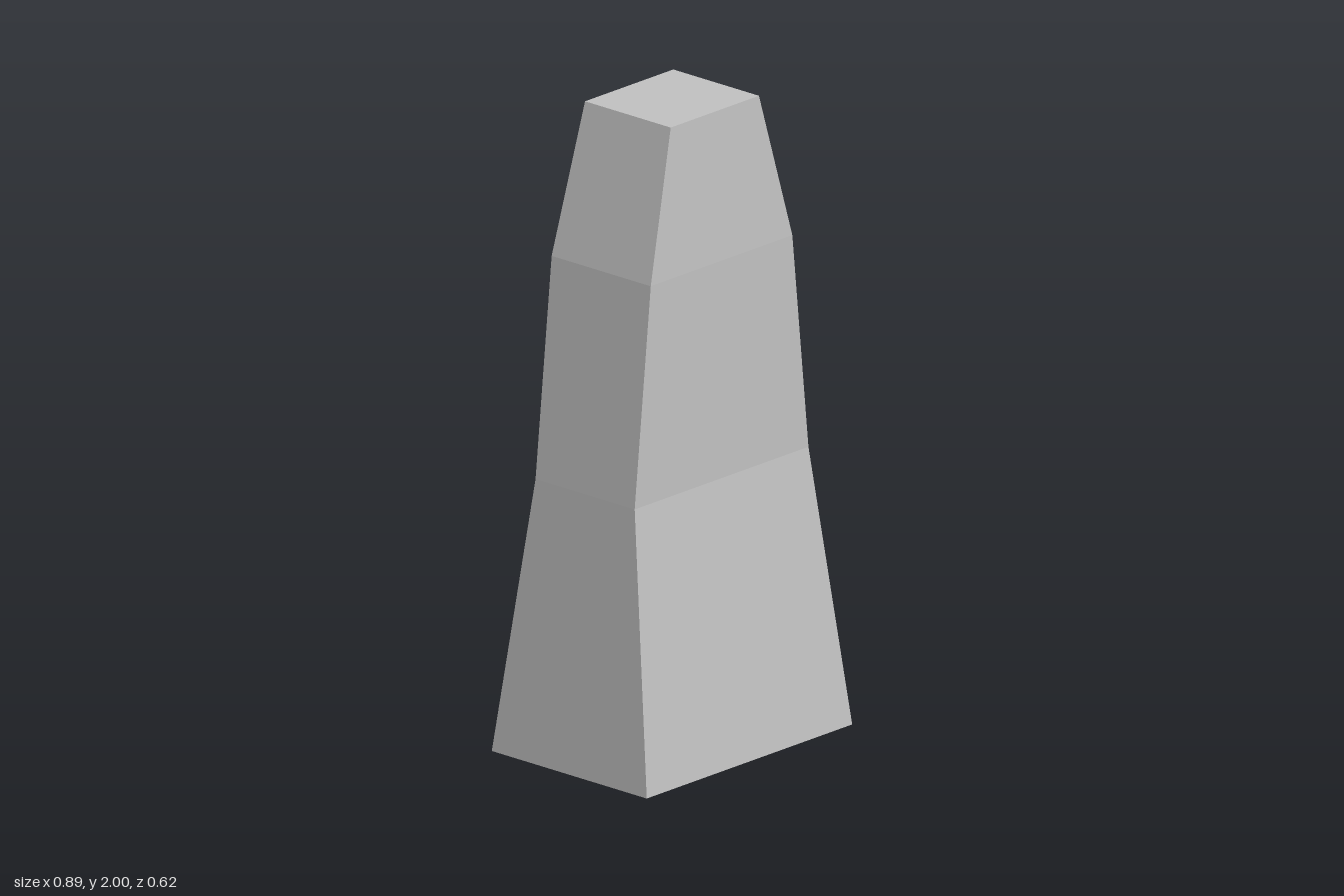
import * as THREE from 'three';

// Half-width and half-depth of the tower at each height, bottom to top
const rings = [
  { y: 0, x: 0.447, z: 0.311 },
  { y: 0.86, x: 0.378, z: 0.199 },
  { y: 1.54, x: 0.308, z: 0.199 },
  { y: 2, x: 0.192, z: 0.172 },
];

export function createModel() {
  const group = new THREE.Group();
  group.name = 'taperedPillar';

  const stone = new THREE.MeshStandardMaterial({ color: 0xc0c0c0, flatShading: true });
  stone.name = 'light grey';

  // Box with one height segment per tier, each level fitted to its ring
  const tiers = rings.length - 1;
  const box = new THREE.BoxGeometry(2, tiers, 2, 1, tiers, 1);
  const pos = box.attributes.position;
  for (let i = 0; i < pos.count; i++) {
    const ring = rings[Math.round(pos.getY(i) + tiers / 2)];
    pos.setXYZ(i, pos.getX(i) * ring.x, ring.y, pos.getZ(i) * ring.z);
  }
  const geometry = box.toNonIndexed();
  geometry.computeVertexNormals();

  const pillar = new THREE.Mesh(geometry, stone);
  pillar.name = 'pillar';
  group.add(pillar);
  return group;
}
